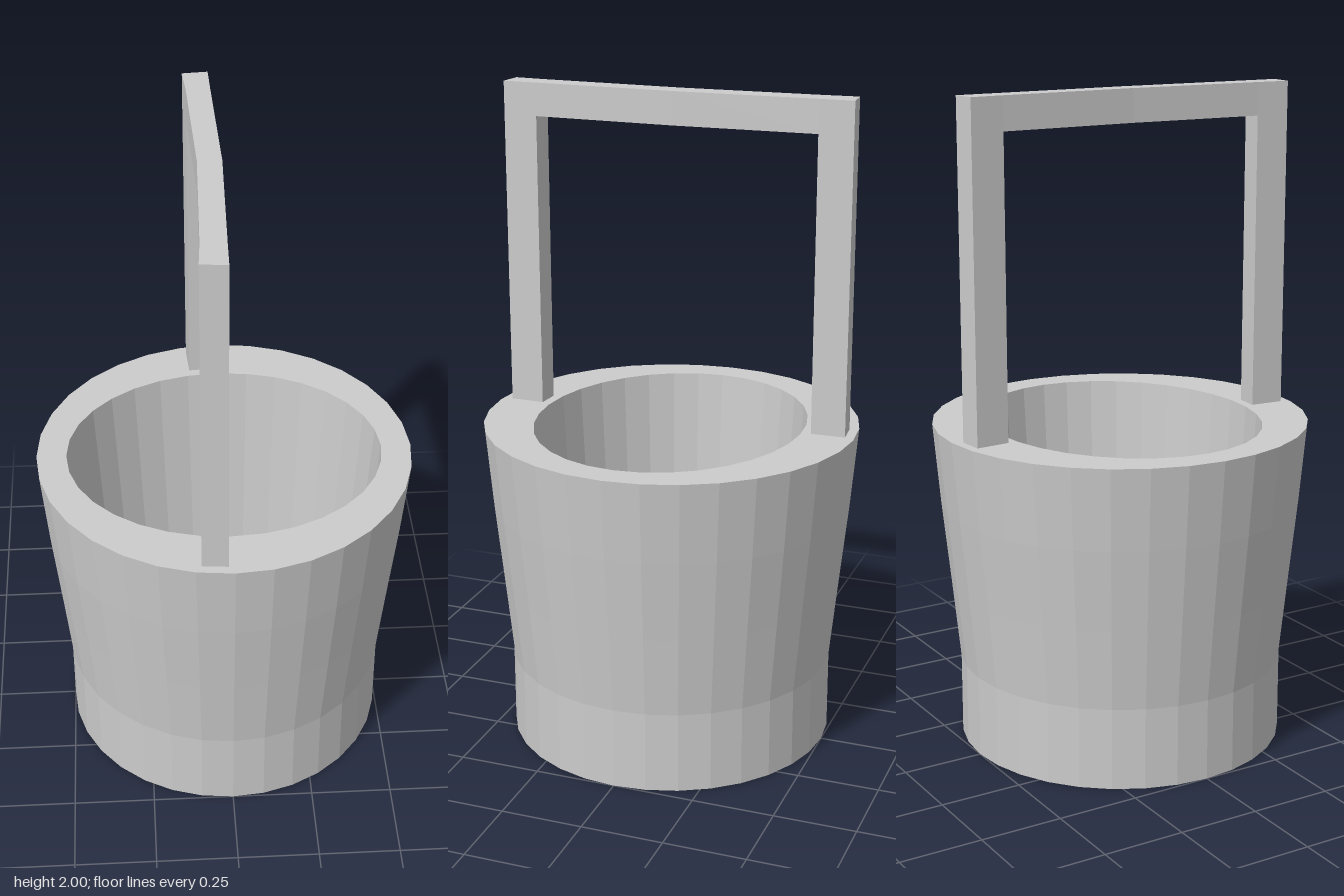
import * as THREE from 'three';

const material = new THREE.MeshStandardMaterial({ color: 0xcccccc, flatShading: true });

// Round tapered pail whose hollow is oval: the inner rings are squeezed in z
function makePail() {
  const profile = [
    [0, 0], [0.5, 0], [0.5, 0.25], [0.525, 0.5], [0.551, 0.75], [0.573, 1], // outside
    [0.482, 1], [0.42, 0.1], [0, 0.1], // inside
  ].map(([r, y]) => new THREE.Vector2(r, y));
  const firstInner = 6;
  const geometry = new THREE.LatheGeometry(profile, 32);
  const position = geometry.attributes.position;
  for (let i = 0; i < position.count; i++) {
    if (i % profile.length >= firstInner) position.setZ(i, position.getZ(i) * 0.85);
  }
  geometry.computeVertexNormals();
  return geometry;
}

// Prism with an [x, z] outline, from height y0 up to y1
function prism(outline, y0, y1) {
  const shape = new THREE.Shape(outline.map(([x, z]) => new THREE.Vector2(x, z)));
  const geometry = new THREE.ExtrudeGeometry(shape, { depth: y1 - y0, bevelEnabled: false });
  return geometry.rotateX(Math.PI / 2).translate(0, y1, 0);
}

export function createModel() {
  const group = new THREE.Group();
  const add = (name, geometry) => {
    const mesh = new THREE.Mesh(geometry, material);
    mesh.name = name;
    group.add(mesh);
  };

  add('pail', makePail());

  // Two slightly skewed posts standing on the rim
  for (const [name, s] of [['frontHandlePost', 1], ['backHandlePost', -1]]) {
    add(name, prism([
      [-0.095, 0.536 * s], [-0.018, 0.543 * s], [-0.016, 0.438 * s], [-0.088, 0.432 * s],
    ], 1, 2));
  }

  // Gently bowed bar joining the posts
  add('handleBar', prism([
    [-0.088, 0.432], [-0.016, 0.438], [-0.005, 0], [-0.016, -0.438], [-0.088, -0.432], [-0.075, 0],
  ], 1.9, 2));

  return group;
}
